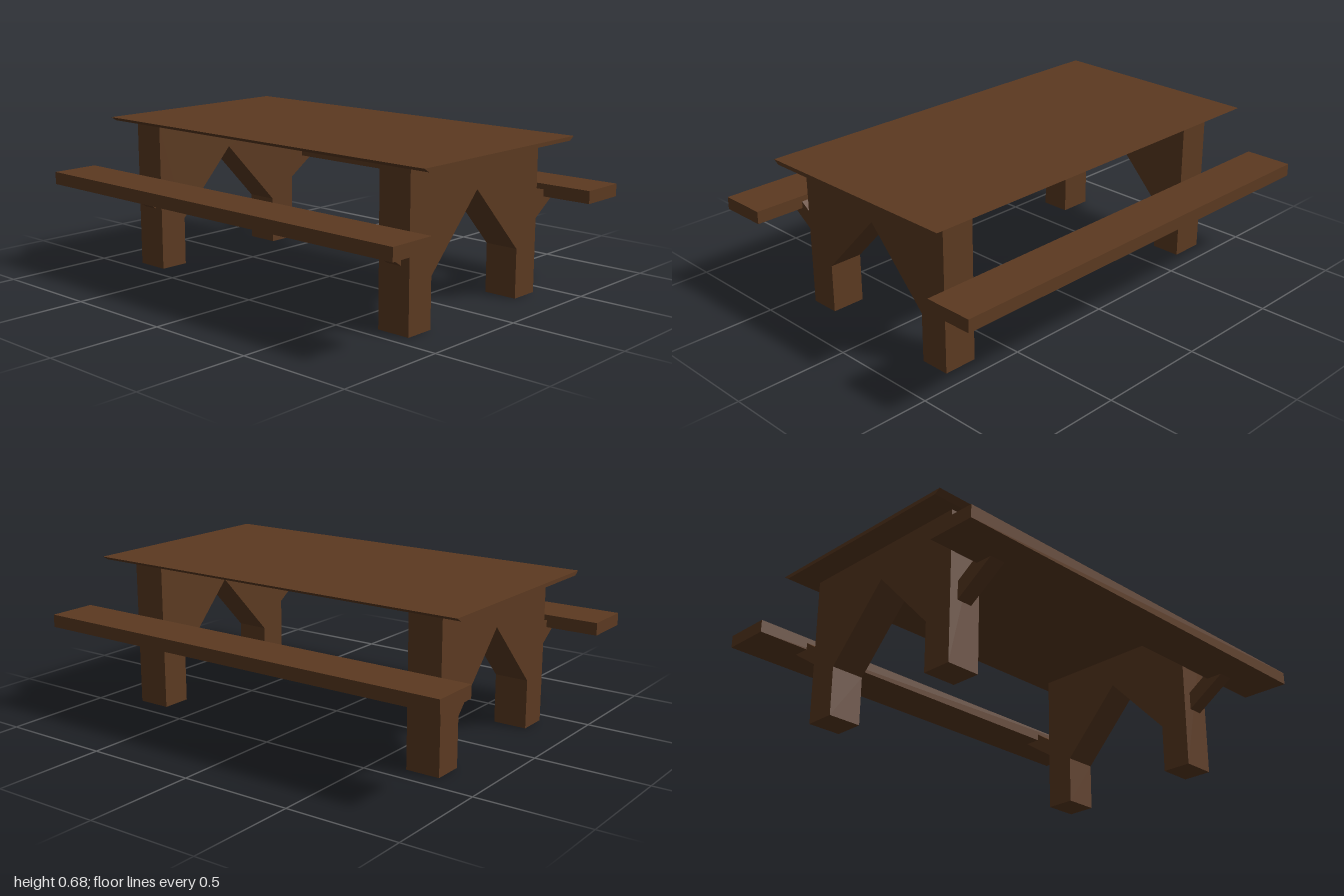
import * as THREE from 'three';

const wood = new THREE.MeshStandardMaterial({ color: 0x5c3a21 });

// Extrudes a side outline of [z, y] points along x, from x0 to x1.
function plank(name, outline, x0, x1) {
  const shape = new THREE.Shape(outline.map(([z, y]) => new THREE.Vector2(z, y)));
  const geometry = new THREE.ExtrudeGeometry(shape, { depth: x1 - x0, bevelEnabled: false });
  geometry.rotateY(-Math.PI / 2).translate(x1, 0, 0);
  const mesh = new THREE.Mesh(geometry, wood);
  mesh.name = name;
  return mesh;
}

export function createModel() {
  const table = new THREE.Group();
  table.name = 'picnicTable';

  // Thin top with its long edges cut under at an angle
  table.add(plank('tableTop',
    [[0.461, 0.667], [0.487, 0.684], [-0.511, 0.684], [-0.483, 0.667]], -0.92, 0.925));

  // Solid leg frames with a pointed arch cut out
  const legOutline = [
    [0.429, 0], [0.429, 0.667], [-0.416, 0.667], [-0.416, 0],
    [-0.28, 0], [-0.28, 0.218], [0.008, 0.519], [0.294, 0.218], [0.294, 0],
  ];
  table.add(plank('rightLegFrame', legOutline, -0.8, -0.647));
  table.add(plank('leftLegFrame', legOutline, 0.66, 0.813));

  // Benches and the sloping braces that carry them, front and back
  for (const [side, s] of [['front', 1], ['back', -1]]) {
    const bench = new THREE.Mesh(new THREE.BoxGeometry(2, 0.056, 0.218), wood);
    bench.name = side + 'Bench';
    bench.position.set(0, 0.426, s * 0.642);
    table.add(bench);

    const brace = [[0.4, 0.259], [0.645, 0.422], [0.549, 0.44], [0.4, 0.341]]
      .map(([z, y]) => [s * z, y]);
    table.add(plank(side + 'RightBrace', brace, -0.761, -0.689));
    table.add(plank(side + 'LeftBrace', brace, 0.702, 0.772));
  }
  return table;
}
